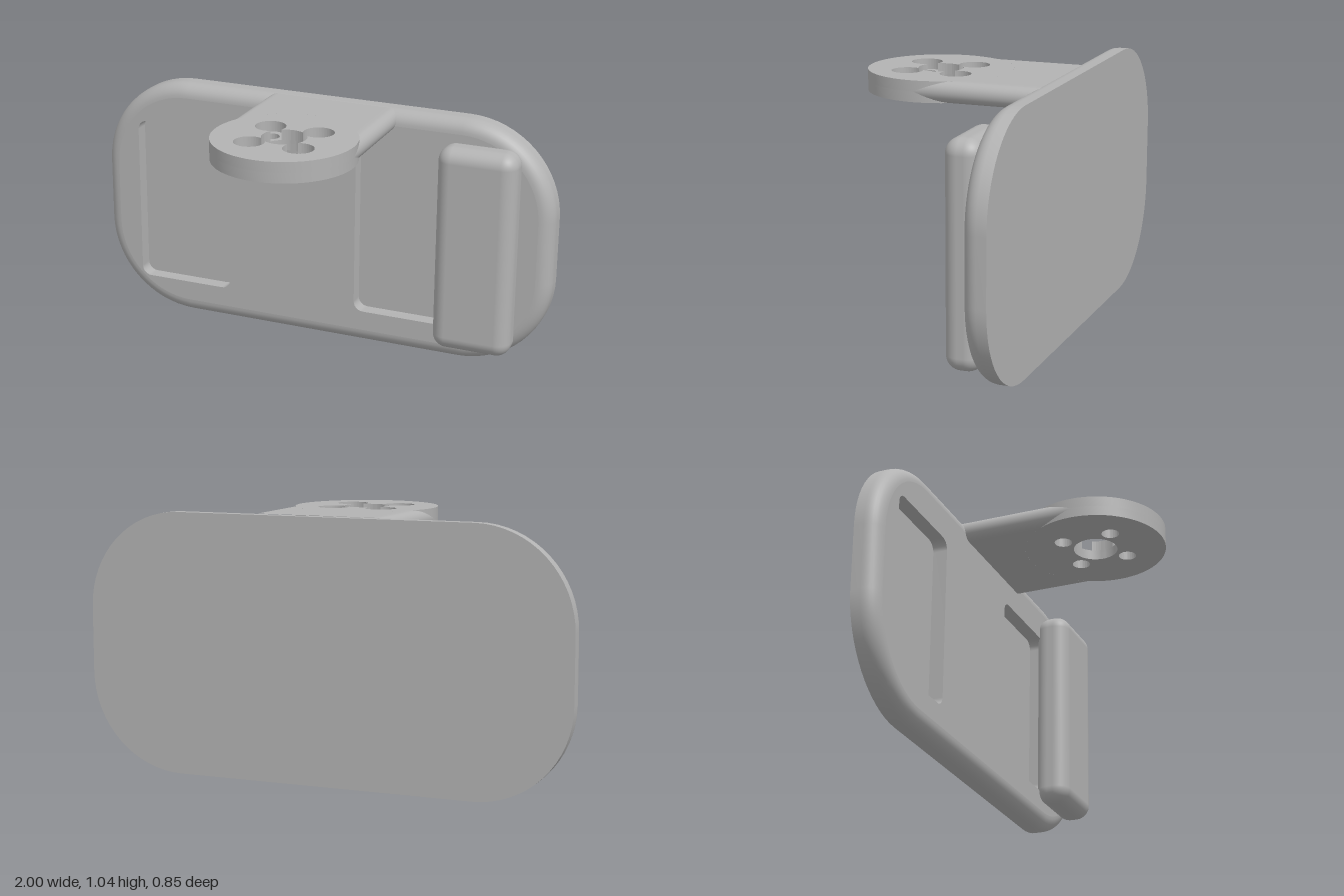
import * as THREE from 'three';
import { toCreasedNormals } from 'three/addons/utils/BufferGeometryUtils.js';
import { RoundedBoxGeometry } from 'three/addons/geometries/RoundedBoxGeometry.js';

const PI = Math.PI;
const grey = new THREE.MeshStandardMaterial({ color: 0xb3b3b3 });
grey.name = 'grey';

function part(name, geometry, x = 0, y = 0, z = 0) {
  const mesh = new THREE.Mesh(geometry, grey);
  mesh.name = name;
  mesh.position.set(x, y, z);
  return mesh;
}

// Counter-clockwise rounded rectangle from half sizes and corner radius
function roundedRect(hw, hh, r, steps, cx = 0, cy = 0) {
  const points = [];
  [[1, 1], [-1, 1], [-1, -1], [1, -1]].forEach(([sx, sy], k) => {
    for (let j = 0; j <= steps; j++) {
      const a = (k + j / steps) * PI / 2;
      points.push(new THREE.Vector2(cx + sx * (hw - r) + r * Math.cos(a), cy + sy * (hh - r) + r * Math.sin(a)));
    }
  });
  return points;
}

const atZ = (points, z) => points.map(p => new THREE.Vector3(p.x, p.y, z));

// Skin a series of closed loops having equal point counts
function loft(rings) {
  const n = rings[0].length, index = [];
  for (let r = 0; r < rings.length - 1; r++) {
    for (let i = 0; i < n; i++) {
      const a = r * n + i, b = r * n + (i + 1) % n;
      index.push(a, b, b + n, a, b + n, a + n);
    }
  }
  const geometry = new THREE.BufferGeometry().setFromPoints(rings.flat());
  geometry.setIndex(index);
  geometry.computeVertexNormals();
  return geometry;
}

function circlePath(x, y, r) {
  return new THREE.Path().absarc(x, y, r, 0, 2 * PI, false);
}

// Horizontal slab extruded upwards
function slab(shape, height) {
  const geometry = new THREE.ExtrudeGeometry(shape, { depth: height, bevelEnabled: false, curveSegments: 32 });
  geometry.rotateX(-PI / 2);
  return toCreasedNormals(geometry, 0.6);
}

function createBackPlate() {
  const group = new THREE.Group();
  group.name = 'backPlate';
  const cy = 0.5225, back = -0.425, front = -0.325, round = 0.06, floor = -0.385;
  const outline = inset => roundedRect(1 - inset, cy - inset, 0.39 - inset, 16, 0, cy);

  // Side wall with a rounded front edge
  const rings = [atZ(outline(0), back)];
  for (let i = 0; i <= 8; i++) {
    const a = i / 8 * PI / 2;
    rings.push(atZ(outline(round * (1 - Math.cos(a))), front - round + round * Math.sin(a)));
  }
  group.add(part('plateRim', loft(rings)));
  group.add(part('plateBack', new THREE.ShapeGeometry(new THREE.Shape(outline(0))).rotateY(PI), 0, 0, back));

  // Front face with two recessed pockets
  const face = new THREE.Shape(outline(round));
  for (const x of [-0.6275, 0.3725]) {
    const pocket = roundedRect(0.2125, 0.3575, 0.04, 6, x, 0.5025);
    face.holes.push(new THREE.Path(pocket));
    group.add(part('pocketWall', loft([atZ(pocket, front), atZ(pocket, floor)])));
    group.add(part('pocketFloor', new THREE.ShapeGeometry(new THREE.Shape(pocket)), 0, 0, floor));
  }
  group.add(part('plateFront', new THREE.ShapeGeometry(face), 0, 0, front));
  return group;
}

function createBracket() {
  const group = new THREE.Group();
  group.name = 'bracket';
  group.position.set(0.04, 0.96, 0.135);
  const R = 0.29, bore = 0.09, sink = 0.062, screw = 0.036, d = 0.145, thick = 0.085, lower = 0.042;

  // Lower layer: centre bore and four screw holes
  const base = new THREE.Shape().absarc(0, 0, R, 0, 2 * PI, false);
  base.holes.push(circlePath(0, 0, bore));

  // Upper layer: counterbores break slightly into the centre bore
  const top = new THREE.Shape().absarc(0, 0, R, 0, 2 * PI, false);
  const lobes = new THREE.Path();
  const a = (d * d + bore * bore - sink * sink) / (2 * d);
  const alpha = Math.acos(a / bore);
  const beta = Math.atan2(bore * Math.sin(alpha), d - a);
  for (let k = 0; k < 4; k++) {
    const phi = PI / 4 + k * PI / 2;
    const x = d * Math.cos(phi), y = d * Math.sin(phi);
    base.holes.push(circlePath(x, y, screw));
    lobes.absarc(x, y, sink, phi + PI + beta, phi + 3 * PI - beta, false);
    lobes.absarc(0, 0, bore, phi + alpha, phi + PI / 2 - alpha, false);
  }
  top.holes.push(lobes);
  group.add(part('mountDiscLower', slab(base, lower)));
  group.add(part('mountDiscUpper', slab(top, thick - lower), 0, lower, 0));

  // Arm with rounded sides, its front end following the disc
  const r = thick / 2, flat = R - r, section = [];
  for (const s of [1, -1]) {
    for (let j = 0; j <= 12; j++) {
      const t = -PI / 2 + j / 12 * PI;
      section.push(new THREE.Vector2(s * (flat + r * Math.cos(t)), r + s * r * Math.sin(t)));
    }
    for (let j = 1; j < 32; j++) {
      section.push(new THREE.Vector2(s * flat * (1 - j / 16), r + s * r));
    }
  }
  const end = section.map(p => new THREE.Vector3(p.x, p.y, -Math.sqrt(Math.max(0, R * R - p.x * p.x))));
  group.add(part('arm', loft([atZ(section, -0.505), end])));
  return group;
}

export function createModel() {
  const model = new THREE.Group();
  model.name = 'mountingPlate';
  model.add(createBackPlate(), createBracket());
  // Upright cushion on the front face
  model.add(part('sidePad', new RoundedBoxGeometry(0.33, 0.87, 0.145, 6, 0.06), 0.705, 0.525, -0.2725));
  return model;
}
